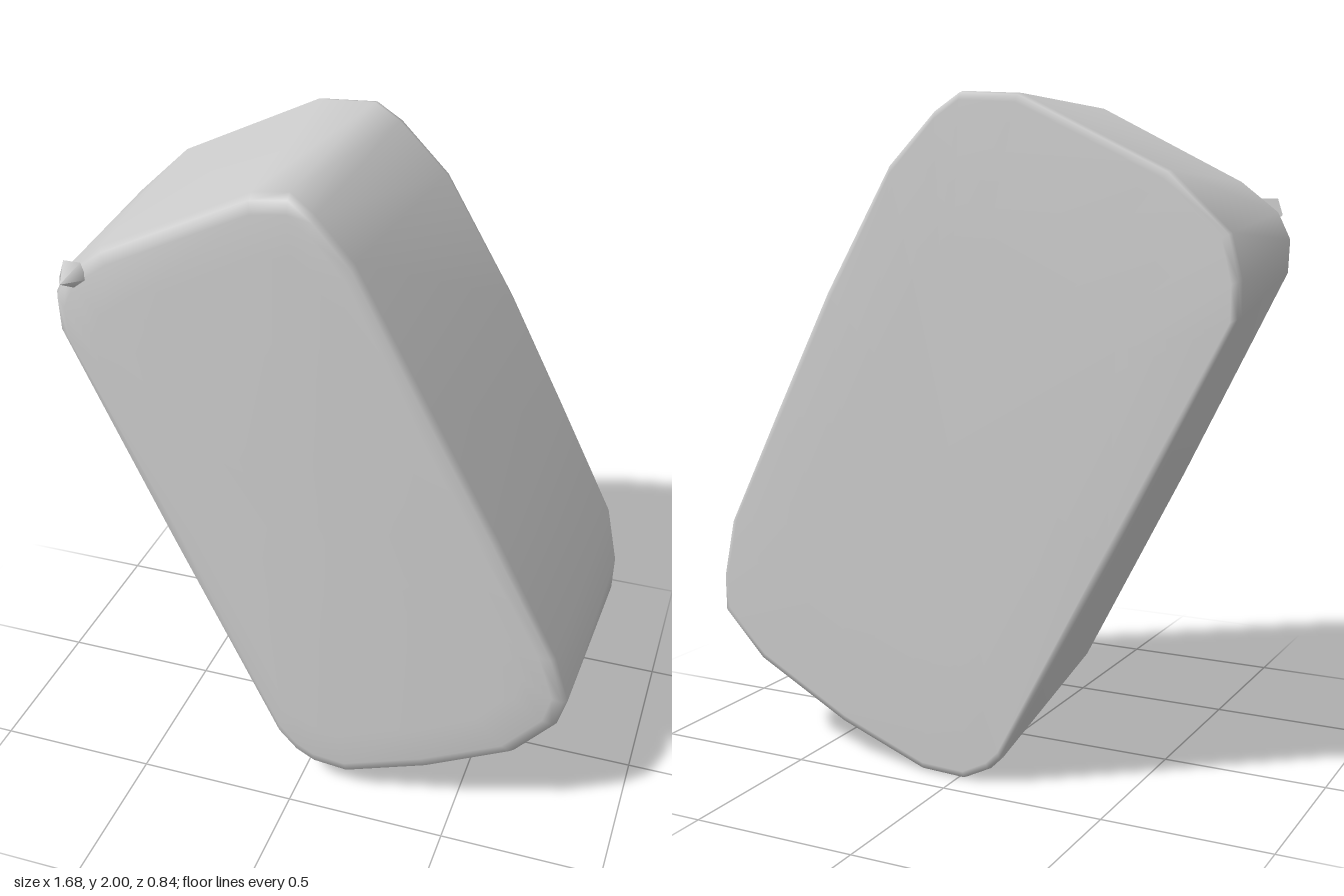
import * as THREE from 'three';

// Matching outlines, counter-clockwise from the bottom corner
const BACK = [
  [-0.02, 0], [0.12, 0.005], [0.4, 0.11], [0.7, 0.27], [0.835, 0.41],
  [0.837, 0.52], [0.8, 0.7], [0.62, 1.06], [0.43, 1.43], [0.21, 1.8],
  [0.06, 1.95], [-0.02, 2], [-0.2, 1.99], [-0.64, 1.78], [-0.81, 1.62],
  [-0.84, 1.5], [-0.84, 1.4], [-0.5, 0.74], [-0.14, 0.08], [-0.1, 0.04],
];
const FRONT = [
  [0.05, 0.08], [0.16, 0.07], [0.42, 0.16], [0.68, 0.28], [0.8, 0.41],
  [0.825, 0.5], [0.78, 0.65], [0.59, 1.03], [0.39, 1.4], [0.16, 1.82],
  [0.05, 1.94], [-0.02, 1.995], [-0.13, 1.98], [-0.6, 1.75], [-0.72, 1.66],
  [-0.76, 1.58], [-0.755, 1.48], [-0.42, 0.83], [-0.07, 0.17], [-0.01, 0.11],
];
const CENTRE = [0.02, 1];

// Gentle bulge of the front face
const faceZ = (x, y) => 0.415 - 0.04 * ((x - 0.1) / 0.75) ** 2 - 0.018 * y;

// Move a point a fixed distance towards the centre, then scale it
function inset([x, y], d, s = 1) {
  const dx = x - CENTRE[0], dy = y - CENTRE[1];
  const k = (1 - d / Math.hypot(dx, dy)) * s;
  return [CENTRE[0] + dx * k, CENTRE[1] + dy * k];
}

function bodyGeometry() {
  const n = BACK.length;
  // Rings from the back cap to the front face
  const rings = [
    BACK.map(p => [...inset(p, 0, 0.6), -0.42]),
    BACK.map(p => [...inset(p, 0.025), -0.42]),
    BACK.map(p => [...inset(p, 0.005), -0.412]),
    BACK.map(p => [...p, -0.39]),
    FRONT.map(p => [...p, faceZ(...p) - 0.035]),
    FRONT.map(p => [...inset(p, 0.015), faceZ(...p) - 0.012]),
    ...[[0.05, 1], [0.08, 0.9], [0.08, 0.6], [0.08, 0.3]].map(([d, s]) =>
      FRONT.map(p => {
        const q = inset(p, d, s);
        return [...q, faceZ(...q)];
      })),
  ];
  const positions = rings.flat(2);
  const index = [];
  for (let i = 0; i < rings.length - 1; i++) {
    for (let j = 0; j < n; j++) {
      const a = i * n + j, b = i * n + (j + 1) % n;
      index.push(a, b, b + n, a, b + n, a + n);
    }
  }
  // Close both ends with fans
  const back = rings.length * n, front = back + 1, last = back - n;
  positions.push(...CENTRE, -0.42, ...CENTRE, faceZ(...CENTRE));
  for (let j = 0; j < n; j++) {
    const k = (j + 1) % n;
    index.push(k, j, back, last + j, last + k, front);
  }
  const geometry = new THREE.BufferGeometry();
  geometry.setAttribute('position', new THREE.Float32BufferAttribute(positions, 3));
  geometry.setIndex(index);
  geometry.computeVertexNormals();
  return geometry;
}

export function createModel() {
  const group = new THREE.Group();
  group.name = 'leaningBlock';
  const material = new THREE.MeshStandardMaterial({ color: 0xcccccc });

  const body = new THREE.Mesh(bodyGeometry(), material);
  body.name = 'body';

  // Small pointed nub at the upper corner of the front
  const nub = new THREE.Mesh(new THREE.ConeGeometry(0.045, 0.08, 5), material);
  nub.name = 'cornerNub';
  nub.rotation.x = Math.PI / 2;
  nub.position.set(-0.68, 1.665, 0.38);

  group.add(body, nub);
  return group;
}
